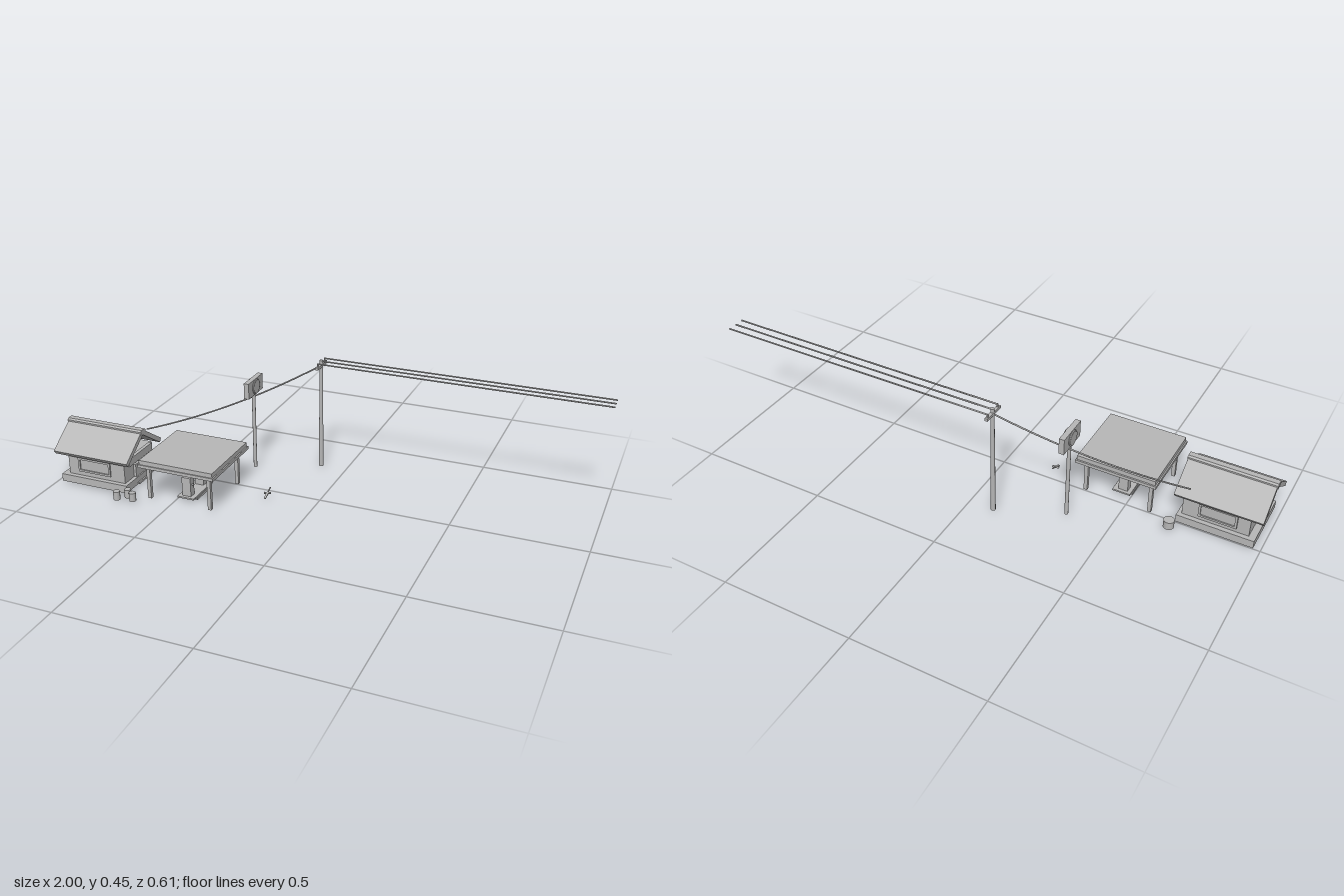
import * as THREE from 'three';

const grey = new THREE.MeshStandardMaterial({ color: 0xb8b8b8 });
grey.name = 'plain grey';

export function createModel() {
  const model = new THREE.Group();
  model.name = 'roadsideStop';

  const add = (parent, name, geo, x = 0, y = 0, z = 0) => {
    const m = new THREE.Mesh(geo, grey);
    m.name = name;
    m.position.set(x, y, z);
    parent.add(m);
    return m;
  };
  // box given by its minimum and maximum corners
  const box = (parent, name, x0, x1, y0, y1, z0, z1) =>
    add(parent, name, new THREE.BoxGeometry(x1 - x0, y1 - y0, z1 - z0),
      (x0 + x1) / 2, (y0 + y1) / 2, (z0 + z1) / 2);
  // upright cylinder standing on y0
  const post = (parent, name, x, z, y0, y1, rTop, rBottom = rTop, sides = 12) =>
    add(parent, name, new THREE.CylinderGeometry(rTop, rBottom, y1 - y0, sides).toNonIndexed(), x, (y0 + y1) / 2, z);
  const group = (name) => {
    const g = new THREE.Group();
    g.name = name;
    model.add(g);
    return g;
  };

  // House
  const house = group('house');
  const hz = 0.115;
  box(house, 'foundation', -0.975, -0.69, 0.008, 0.038, -0.005, 0.237);
  box(house, 'walls', -0.95, -0.705, 0.038, 0.125, 0.013, 0.219);
  for (const s of [-1, 1]) {
    const slab = add(house, 'roofSlab', new THREE.BoxGeometry(0.32, 0.018, 0.148), -0.837, 0.169, hz + s * 0.063);
    slab.rotation.x = s * 0.61;

    // framed window on each long wall
    const wz = hz + s * 0.103;
    const win = new THREE.Group();
    win.name = 'window';
    win.position.set(-0.835, 0.085, wz);
    house.add(win);
    for (const e of [-1, 1]) {
      box(win, 'frameRail', -0.07, 0.07, e * 0.025 - 0.004, e * 0.025 + 0.004, -0.007, 0.007);
      box(win, 'frameStile', e * 0.066 - 0.004, e * 0.066 + 0.004, -0.025, 0.025, -0.007, 0.007);
    }
    box(win, 'pane', -0.062, 0.062, -0.021, 0.021, -0.002, 0.002);
  }
  const ridge = new THREE.Shape([[-0.017, -0.008], [0.017, -0.008], [0.017, 0.006], [0.011, 0.012], [-0.011, 0.012], [-0.017, 0.006]]
    .map(([x, y]) => new THREE.Vector2(x, y)));
  const cap = add(house, 'ridgeCap', new THREE.ExtrudeGeometry(ridge, { depth: 0.325, bevelEnabled: false }), -1, 0.212, hz);
  cap.rotation.y = Math.PI / 2;
  box(house, 'door', -0.706, -0.695, 0.038, 0.09, 0.077, 0.154);
  box(house, 'doorStep', -0.705, -0.684, 0.008, 0.016, 0.077, 0.154);
  box(house, 'doorSign', -0.706, -0.692, 0.101, 0.131, 0.032, 0.199);

  // Canopy on four posts
  const canopy = group('canopy');
  box(canopy, 'canopyTop', -0.612, -0.312, 0.155, 0.172, -0.028, 0.26);
  box(canopy, 'canopyRim', -0.617, -0.307, 0.143, 0.155, -0.034, 0.264);
  for (const x of [-0.59, -0.34])
    for (const z of [0.003, 0.23])
      box(canopy, 'canopyPost', x - 0.007, x + 0.007, 0.008, 0.145, z - 0.007, z + 0.007);

  // Pump island
  const island = group('pumpIsland');
  box(island, 'islandBase', -0.5, -0.425, 0, 0.009, 0.06, 0.17);
  box(island, 'islandSlab', -0.497, -0.428, 0.009, 0.015, 0.04, 0.195);
  for (const z of [0.067, 0.168]) {
    box(island, 'pumpBody', -0.482, -0.446, 0.015, 0.09, z - 0.014, z + 0.014);
    const knob = add(island, 'pumpKnob', new THREE.CylinderGeometry(0.004, 0.004, 0.01, 10), -0.444, 0.06, z);
    knob.rotation.z = Math.PI / 2;
  }

  // Barrels beside the house
  const barrels = group('barrels');
  post(barrels, 'largeBarrel', -0.68, -0.041, 0.008, 0.038, 0.02);
  for (const [x, z] of [[-0.7, 0.29], [-0.67, 0.26], [-0.64, 0.277]])
    post(barrels, 'smallBarrel', x, z, 0.008, 0.042, 0.013);

  // Road sign with a round plate on each face
  const sign = group('roadSign');
  post(sign, 'signPost', -0.338, -0.155, 0.008, 0.325, 0.007);
  box(sign, 'signPanel', -0.348, -0.328, 0.32, 0.382, -0.218, -0.093);
  for (const s of [-1, 1]) {
    const disc = add(sign, 'signDisc', new THREE.CylinderGeometry(0.025, 0.025, 0.006, 28), -0.338 + s * 0.012, 0.351, -0.155);
    disc.rotation.z = Math.PI / 2;
    const rim = add(sign, 'signRing', new THREE.TorusGeometry(0.027, 0.003, 6, 28), -0.338 + s * 0.012, 0.351, -0.155);
    rim.rotation.y = Math.PI / 2;
  }

  // Utility pole, crossbar and wires
  const utility = group('utilityPole');
  post(utility, 'pole', -0.1, -0.261, 0.008, 0.453, 0.007, 0.0095, 8);
  box(utility, 'crossbar', -0.106, -0.094, 0.428, 0.438, -0.305, -0.215);
  for (const dz of [-0.034, 0, 0.034]) {
    const z = -0.261 + dz;
    post(utility, 'insulator', -0.1, z, 0.436, 0.45, 0.003);
    const wire = add(utility, 'wire', new THREE.CylinderGeometry(0.003, 0.003, 1.1, 8), 0.45, 0.449, z);
    wire.rotation.z = Math.PI / 2;
  }
  const sag = new THREE.QuadraticBezierCurve3(
    new THREE.Vector3(-0.1, 0.432, -0.261),
    new THREE.Vector3(-0.415, 0.245, -0.13),
    new THREE.Vector3(-0.73, 0.168, 0));
  add(utility, 'houseCable', new THREE.TubeGeometry(sag, 24, 0.003, 8));

  // Small tool lying tilted on the ground
  const tool = group('groundTool');
  tool.position.set(-0.192, 0.017, 0.05);
  tool.rotation.x = 0.4;
  box(tool, 'toolBlade', -0.004, 0.004, -0.002, 0.002, -0.004, 0.028);
  box(tool, 'toolGrip', -0.002, 0.002, -0.002, 0.002, -0.028, -0.004);
  const guard = box(tool, 'toolGuard', -0.013, 0.013, -0.003, 0.003, -0.003, 0.003);
  guard.rotation.y = 0.2;

  return model;
}
